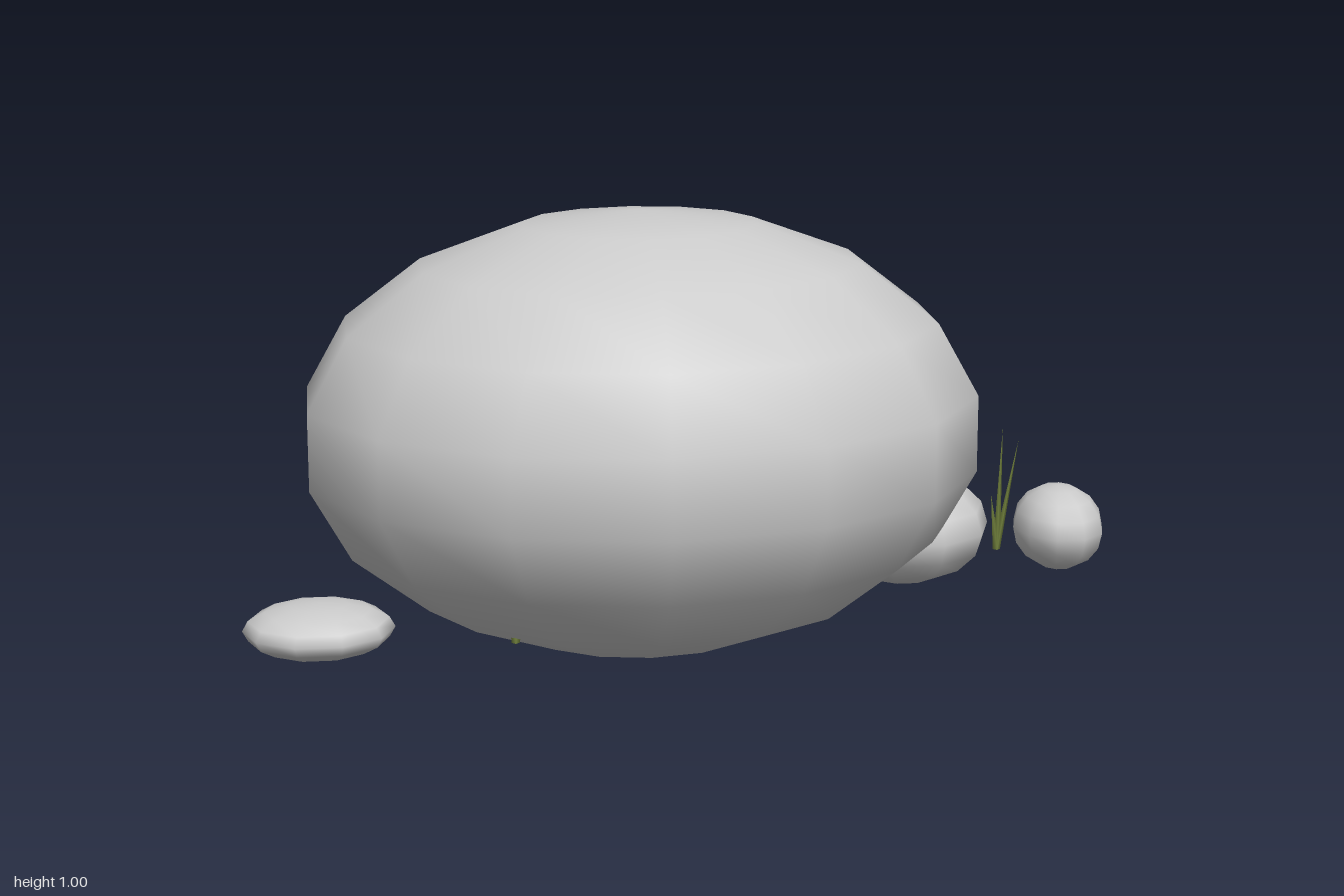
import * as THREE from 'three';

export function createModel() {
  const model = new THREE.Group();
  model.name = 'boulderCluster';

  const stone = new THREE.MeshStandardMaterial({ color: 0xcccccc });
  const darkStone = new THREE.MeshStandardMaterial({ color: 0x99a5ac });
  const green = new THREE.MeshStandardMaterial({ color: 0x75853f });

  function addRock(name, geometry, position, radii, material = stone) {
    const rock = new THREE.Mesh(geometry, material);
    rock.name = name;
    rock.position.set(...position);
    rock.scale.set(...radii);
    model.add(rock);
  }

  // Main boulder: 14 sides with a corner facing front and back
  const boulder = new THREE.SphereGeometry(1, 14, 9, Math.PI / 2);
  addRock('mainBoulder', boulder, [-0.115, 0.503, 0.13], [0.77, 0.498, 0.637]);

  // Smaller stones lying around it
  const pebble = new THREE.SphereGeometry(1, 10, 8);
  addRock('frontFlatStone', pebble, [-0.84, 0.195, 0.55], [0.16, 0.057, 0.141]);
  addRock('sideRoundStone', pebble, [0.893, 0.195, -0.04], [0.107, 0.1, 0.137]);
  addRock('sideLargeStone', pebble, [0.495, 0.245, 0.08], [0.2, 0.13, 0.197]);
  addRock('backDarkStone', pebble, [-0.01, 0.21, -0.375], [0.165, 0.092, 0.128], darkStone);
  addRock('backSmallStone', pebble, [0.38, 0.193, -0.255], [0.09, 0.083, 0.077]);
  addRock('backFlatStone', pebble, [-0.497, 0.193, -0.652], [0.148, 0.057, 0.113]);
  addRock('backRoundStone', pebble, [-0.7, 0.193, -0.613], [0.1, 0.102, 0.086]);
  addRock('cornerStone', pebble, [-0.62, 0.185, -0.16], [0.135, 0.1, 0.165]);

  // Grass tufts: slim four-sided blades fanning out from one base point
  const tips = [[0, 0.305, 0.035], [0.04, 0.275, 0.03], [-0.022, 0.14, 0.025]];
  const bladeShape = new THREE.ConeGeometry(0.009, 1, 4).translate(0, 0.5, 0);
  const up = new THREE.Vector3(0, 1, 0);

  function addTuft(name, position) {
    const tuft = new THREE.Group();
    tuft.name = name;
    tuft.position.set(...position);
    for (const tip of tips) {
      const direction = new THREE.Vector3(...tip);
      const blade = new THREE.Mesh(bladeShape, green);
      blade.name = 'grassBlade';
      blade.scale.y = direction.length();
      blade.quaternion.setFromUnitVectors(up, direction.normalize());
      tuft.add(blade);
    }
    model.add(tuft);
  }

  addTuft('sideGrass', [0.77, 0.115, -0.138]);
  addTuft('backGrass', [-0.27, 0.115, -0.4]);
  addTuft('frontGrass', [-0.42, 0.11, 0.43]);

  return model;
}
